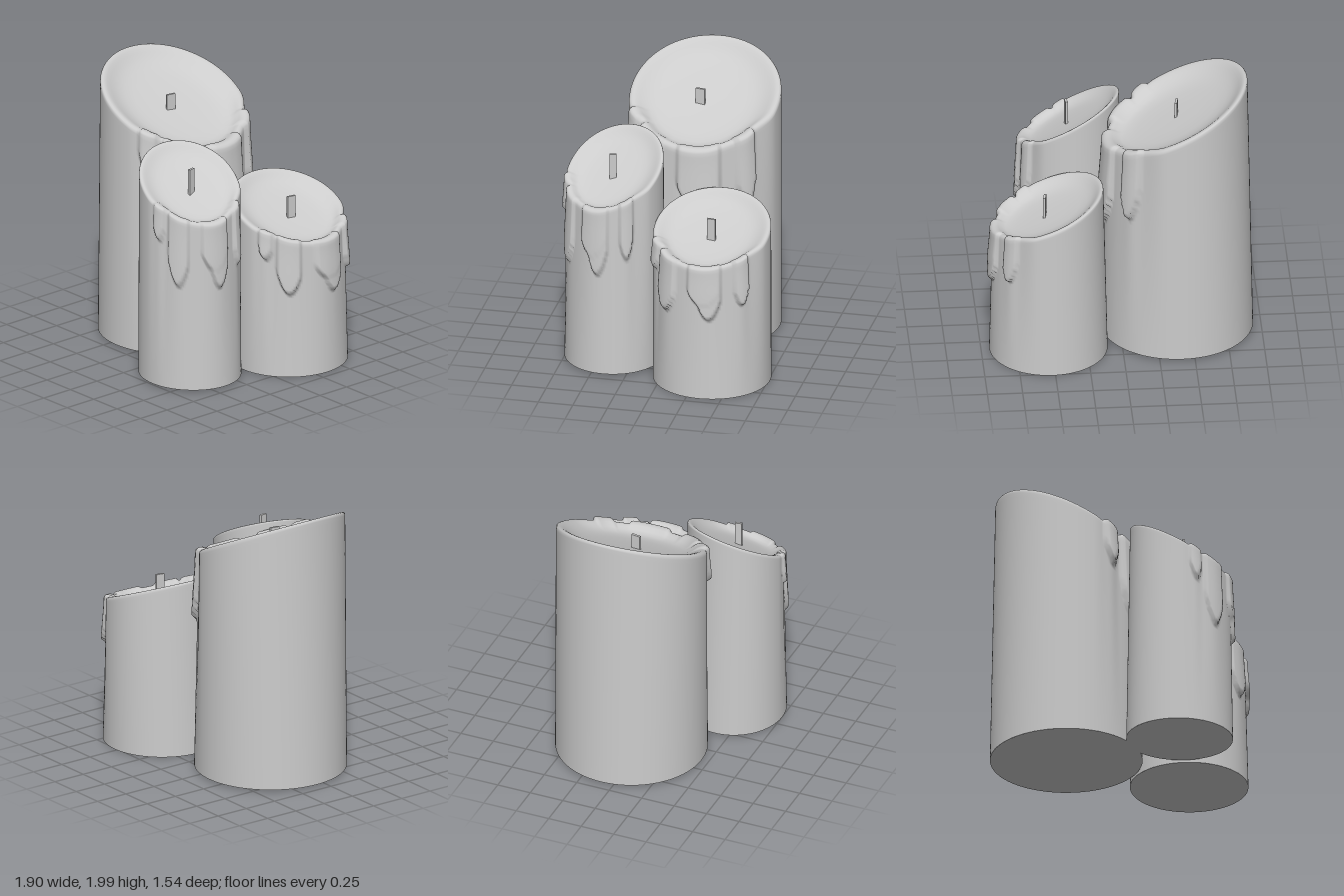
import * as THREE from 'three';

const SEG = 200;
const WALL_ROWS = 56;
const RAD = Math.PI / 180;
const smooth = THREE.MathUtils.smoothstep;

// wax runs: angle and half width in degrees, length as a share of the candle height
const RUNS = [
  { angle: 62, width: 7, length: 0.17 },
  { angle: 38, width: 13, length: 0.35 },
  { angle: -7, width: 18, length: 0.25 },
  { angle: -12, width: 13, length: 0.34 },
  { angle: -47, width: 9, length: 0.3 },
];

// rim and bowl profile, from the wall inwards: [share of radius, height in radii]
const RIM = [
  [0.998, -0.03], [0.985, -0.01], [0.965, 0], [0.94, 0], [0.91, -0.012], [0.87, -0.04],
  [0.82, -0.075], [0.76, -0.105], [0.68, -0.13], [0.55, -0.15], [0.3, -0.16], [0, -0.16],
];

// thickness of the run wax at an angle and a depth below the rim
function runWax(deg, depth) {
  let wax = 0;
  let trail = 0;
  for (const { angle, width, length } of RUNS) {
    const u = Math.abs(deg - angle) / width;
    const end = length * (1 - 0.4 * u * u);
    const side = 1 - smooth(u, 0.82, 1.05);
    const tip = 1 - smooth(depth, end - 0.02, end);
    wax = Math.max(wax, side * tip * (0.048 + 0.03 * smooth(depth, 0, length)));
    trail = Math.max(trail, Math.exp(-u * u * 1.5) * 0.025);
  }
  return { wax, trail };
}

// wall, rolled rim and hollow top in one smooth skin
function waxGeometry(height, slope, radius) {
  const rows = WALL_ROWS + RIM.length;
  const pos = [];
  const index = [];

  const wallRadius = (theta, y, depth) => {
    const c = Math.cos(theta);
    const up = THREE.MathUtils.clamp(y / height, 0, 1.2);
    const deg = Math.atan2(Math.sin(theta), c) / RAD;
    const { wax, trail } = runWax(deg, depth);
    const taper = c < 0 ? 0.065 * c * c * up : 0;
    const recess = 0.085 * smooth(c, 0.2, 0.6) * up;
    return radius * (1 - taper - recess + wax + trail * up);
  };

  for (let j = 0; j < rows; j++) {
    for (let i = 0; i < SEG; i++) {
      const theta = (i / SEG) * Math.PI * 2;
      const c = Math.cos(theta);
      const deg = Math.atan2(Math.sin(theta), c) / RAD;
      const edge = height - slope * radius * 0.95 * c;
      let r, y;
      if (j < WALL_ROWS) {
        y = (edge - 0.06 * radius) * (j / (WALL_ROWS - 1));
        r = wallRadius(theta, y, (edge - y) / height);
      } else {
        const [f, h] = RIM[j - WALL_ROWS];
        const outer = smooth(f, 0.72, 0.98);
        const full = wallRadius(theta, edge, 0);
        r = f * THREE.MathUtils.lerp(radius * 0.95, full, outer);
        const lip = runWax(deg, 0).wax * radius * 0.9 * smooth(f, 0.78, 0.88);
        y = height - slope * r * c + h * radius + lip;
      }
      pos.push(r * c, y, r * Math.sin(theta));
    }
  }
  for (let j = 0; j < rows - 1; j++) {
    for (let i = 0; i < SEG; i++) {
      const a = j * SEG + i;
      const b = j * SEG + ((i + 1) % SEG);
      index.push(a, a + SEG, b + SEG, a, b + SEG, b);
    }
  }
  const geo = new THREE.BufferGeometry();
  geo.setAttribute('position', new THREE.Float32BufferAttribute(pos, 3));
  geo.setIndex(index);
  geo.computeVertexNormals();
  return geo;
}

function makeCandle(material, spec) {
  const { name, x, z, base, height, slope, radius, stretch, turn, wick } = spec;
  const candle = new THREE.Group();
  candle.name = name;

  const body = new THREE.Group();
  body.name = 'waxBody';
  body.rotation.y = turn * RAD;
  const wax = new THREE.Mesh(waxGeometry(height - base, slope, radius), material);
  wax.name = 'wax';
  const bottom = new THREE.Mesh(new THREE.CircleGeometry(radius, 64), material);
  bottom.name = 'bottom';
  bottom.rotation.x = Math.PI / 2;
  body.add(wax, bottom);
  candle.add(body);

  // flat wick, sunk a little into the hollow
  const tall = wick.top - wick.foot + 0.04;
  const strip = new THREE.Mesh(new THREE.BoxGeometry(0.017, tall, wick.width), material);
  strip.name = 'wick';
  strip.position.set(wick.x - x, wick.top - tall / 2 - base, wick.z - z);
  strip.rotation.y = wick.turn * RAD;
  candle.add(strip);

  candle.position.set(x, base, z);
  candle.scale.set(stretch, 1, 1 / stretch);
  return candle;
}

export function createModel() {
  const material = new THREE.MeshStandardMaterial({ color: 0xcccccc });
  const model = new THREE.Group();
  model.name = 'candles';
  const specs = [
    {
      name: 'tallCandle', x: -0.405, z: -0.085, base: 0.015, height: 1.765, slope: 0.475,
      radius: 0.54, stretch: 1, turn: 0,
      wick: { x: -0.405, z: -0.05, foot: 1.68, top: 1.79, width: 0.068, turn: -9 },
    },
    {
      name: 'frontCandle', x: 0.322, z: 0.408, base: 0.015, height: 1.45, slope: 0.59,
      radius: 0.365, stretch: 1.035, turn: -19,
      wick: { x: 0.343, z: 0.415, foot: 1.375, top: 1.56, width: 0.052, turn: 10 },
    },
    {
      name: 'shortCandle', x: 0.522, z: -0.345, base: 0, height: 1.14, slope: 0.4,
      radius: 0.419, stretch: 1, turn: -3,
      wick: { x: 0.548, z: -0.345, foot: 1.08, top: 1.22, width: 0.063, turn: -9 },
    },
  ];
  for (const spec of specs) model.add(makeCandle(material, spec));
  return model;
}
